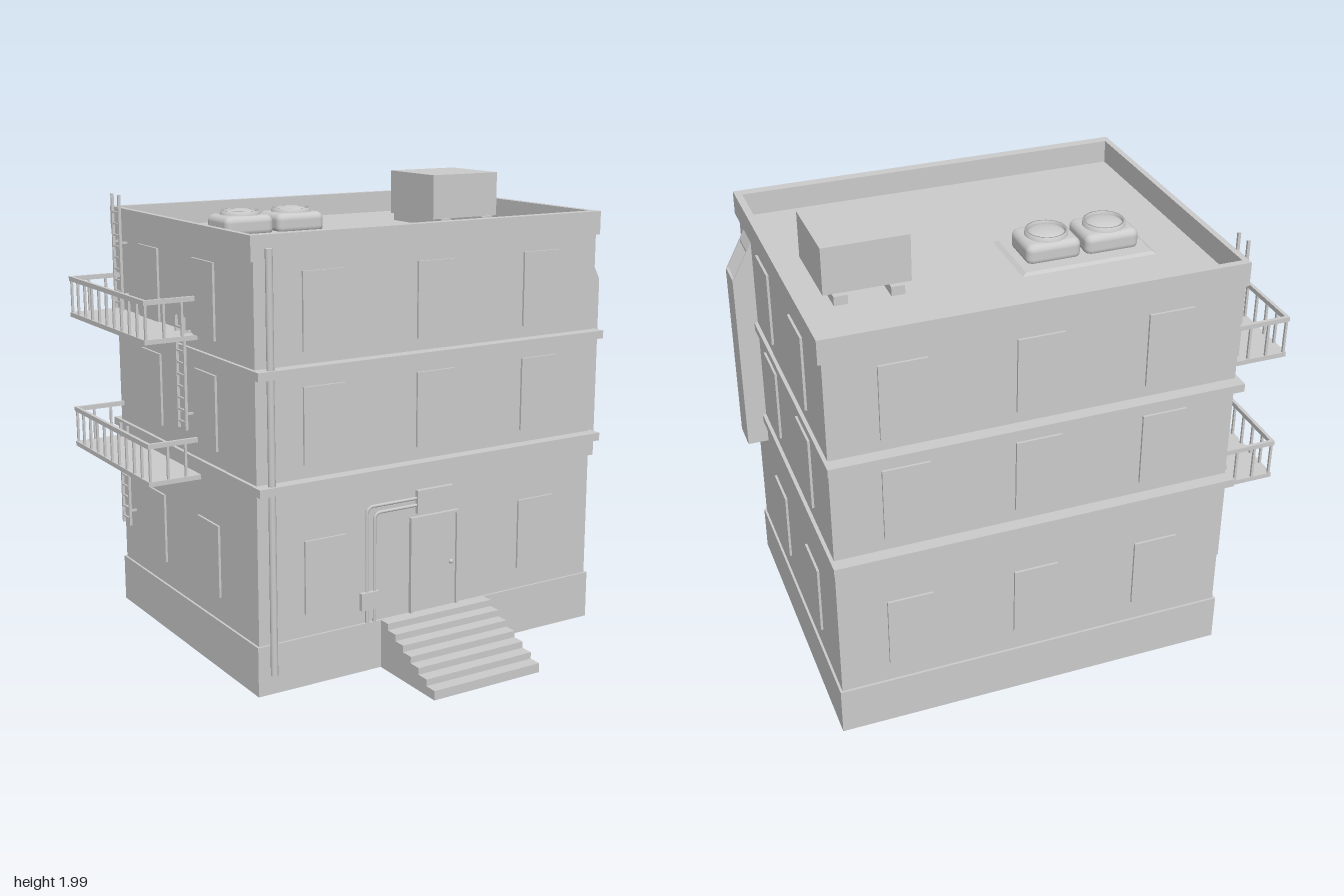
import * as THREE from 'three';
import { RoundedBoxGeometry } from 'three/addons/geometries/RoundedBoxGeometry.js';

const mat = new THREE.MeshStandardMaterial({ color: 0xcccccc, side: THREE.DoubleSide });

export function createModel() {
  const root = new THREE.Group();
  root.name = 'building';

  const add = (name, geo, parent = root) => {
    const m = new THREE.Mesh(geo, mat);
    m.name = name;
    parent.add(m);
    return m;
  };
  const group = (name, parent = root) => {
    const g = new THREE.Group();
    g.name = name;
    parent.add(g);
    return g;
  };
  // box given by its limits
  const box = (name, x0, x1, y0, y1, z0, z1, parent) => {
    const g = new THREE.BoxGeometry(x1 - x0, y1 - y0, z1 - z0);
    g.translate((x0 + x1) / 2, (y0 + y1) / 2, (z0 + z1) / 2);
    return add(name, g, parent);
  };
  const rect = (P, x0, x1, z0, z1) => {
    const p = new P();
    p.moveTo(x0, -z1);
    p.lineTo(x1, -z1);
    p.lineTo(x1, -z0);
    p.lineTo(x0, -z0);
    p.closePath();
    return p;
  };
  // horizontal rectangular ring: outer and inner limits [x0, x1, z0, z1]
  const ring = (name, o, i, y0, y1) => {
    const s = rect(THREE.Shape, ...o);
    s.holes.push(rect(THREE.Path, ...i));
    const g = new THREE.ExtrudeGeometry(s, { depth: y1 - y0, bevelEnabled: false });
    g.rotateX(-Math.PI / 2);
    g.translate(0, y0, 0);
    return add(name, g);
  };
  // polygon in the x-y plane, extruded from z0 to z1
  const plate = (name, pts, z0, z1, parent) => {
    const s = new THREE.Shape(pts.map(p => new THREE.Vector2(...p)));
    const g = new THREE.ExtrudeGeometry(s, { depth: z1 - z0, bevelEnabled: false });
    g.translate(0, 0, z0);
    return add(name, g, parent);
  };

  // hollow shell, open underneath
  ring('plinth', [-0.775, 0.92, -0.84, 0.49], [-0.75, 0.895, -0.815, 0.465], 0, 0.21);
  ring('walls', [-0.765, 0.91, -0.83, 0.48], [-0.755, 0.9, -0.82, 0.47], 0.21, 1.76);
  for (const y of [0.84, 1.3])
    ring('ledge', [-0.78, 0.925, -0.885, 0.535], [-0.73, 0.875, -0.795, 0.445], y, y + 0.035);
  ring('parapet', [-0.78, 0.925, -0.84, 0.49], [-0.755, 0.895, -0.81, 0.445], 1.75, 1.85);
  box('roof', -0.76, 0.9, 1.735, 1.752, -0.815, 0.45);

  // windows on all four sides
  const windows = group('windows');
  [[0.305, 0.615], [0.93, 1.245], [1.385, 1.7]].forEach(([y0, y1], row) => {
    [-0.46, 0.075, 0.6125].forEach((x, col) => {
      box('backWindow', x - 0.095, x + 0.095, y0, y1, -0.84, -0.825, windows);
      if (row > 0 || col !== 1)
        box('frontWindow', x - 0.095, x + 0.095, y0, y1, 0.475, 0.49, windows);
    });
    for (const z of [0.06, -0.465]) {
      box('leftWindow', 0.905, 0.92, y0 + 0.01, y1 + 0.01, z - 0.095, z + 0.095, windows);
      box('rightWindow', -0.775, -0.76, y0 + 0.01, y1 + 0.01, z - 0.095, z + 0.095, windows);
    }
  });

  // front door with frame and knob
  const door = group('door');
  box('doorPanel', -0.04, 0.185, 0.21, 0.62, 0.475, 0.486, door);
  box('doorFrameSide', -0.05, -0.038, 0.21, 0.63, 0.475, 0.497, door);
  box('doorFrameSide', 0.183, 0.195, 0.21, 0.63, 0.475, 0.497, door);
  box('doorFrameTop', -0.038, 0.183, 0.618, 0.63, 0.475, 0.497, door);
  const knob = add('doorKnob', new THREE.SphereGeometry(0.01, 12, 8), door);
  knob.position.set(0.157, 0.405, 0.494);

  // meter boxes and the bent conduits between them
  const conduit = group('conduits');
  box('upperMeterBox', -0.02, 0.16, 0.645, 0.745, 0.475, 0.5, conduit);
  box('lowerMeterBox', -0.295, -0.21, 0.27, 0.345, 0.475, 0.5, conduit);
  for (const [x, y] of [[-0.262, 0.71], [-0.225, 0.68]]) {
    const path = new THREE.CurvePath();
    const v = (a, b) => new THREE.Vector3(a, b, 0.486);
    path.add(new THREE.LineCurve3(v(x, 0.21), v(x, y - 0.03)));
    path.add(new THREE.QuadraticBezierCurve3(v(x, y - 0.03), v(x, y), v(x + 0.03, y)));
    path.add(new THREE.LineCurve3(v(x + 0.03, y), v(-0.01, y)));
    add('conduit', new THREE.TubeGeometry(path, 60, 0.007, 8), conduit);
  }

  // downpipe
  const down = add('downpipe', new THREE.CylinderGeometry(0.015, 0.015, 1.71, 12));
  down.position.set(-0.715, 0.945, 0.513);

  // entrance steps: thin treads and risers between two cheeks
  const stairs = group('entranceSteps');
  const profile = [[0.49, 0]];
  const tread = 0.057;
  for (let i = 6; i >= 0; i--) {
    const top = 0.04 + i * 0.0283, z = 0.885 - i * tread;
    const back = i === 6 ? 0.49 : z - tread;
    profile.push([back, top], [z, top]);
    box('tread', -0.19, 0.33, top - 0.006, top, back, z, stairs);
    box('riser', -0.19, 0.33, i ? top - 0.0283 : 0, top - 0.006, z - 0.006, z, stairs);
  }
  profile.push([0.885, 0]);
  for (const x of [-0.195, 0.33]) {
    const cheek = plate('stepCheek', profile.map(([z, y]) => [-z, y]), 0, 0.005, stairs);
    cheek.rotation.y = Math.PI / 2;
    cheek.position.x = x;
  }

  // wall duct with an open slanted mouth
  const duct = group('wallDuct');
  const side = [[0.905, 0.735], [1, 0.735], [1, 1.54], [0.91, 1.71], [0.905, 1.71]];
  plate('ductSide', side, 0.275, 0.285, duct);
  plate('ductSide', side, 0.4, 0.41, duct);
  box('ductFront', 0.99, 1, 0.735, 1.55, 0.285, 0.4, duct);
  box('ductBottom', 0.905, 0.99, 0.735, 0.745, 0.285, 0.4, duct);
  plate('ductLip', [[0.905, 1.66], [0.93, 1.66], [0.93, 1.672], [0.91, 1.71], [0.905, 1.71]], 0.285, 0.4, duct);

  // balconies with railings
  for (const y of [0.785, 1.375]) {
    const b = group('balcony');
    const top = y + 0.16;
    box('balconyFloor', -1, -0.76, y, y + 0.02, -0.81, -0.01, b);
    box('outerRail', -1, -0.985, top, top + 0.02, -0.81, -0.01, b);
    for (const z of [-0.81, -0.025]) {
      box('endRail', -0.985, -0.765, top, top + 0.02, z, z + 0.015, b);
      for (const x of [-0.995, -0.915, -0.835])
        box('endBaluster', x, x + 0.01, y + 0.02, top, z + 0.002, z + 0.012, b);
    }
    for (let i = 1; i < 10; i++) {
      const z = -0.805 + i * 0.079;
      box('baluster', -0.997, -0.987, y + 0.02, top, z - 0.005, z + 0.005, b);
    }
  }

  // fire ladders
  for (const [zc, y0, y1] of [[-0.738, 0.4, 0.87], [-0.11, 0.985, 1.46], [-0.738, 1.4, 1.91]]) {
    const l = group('ladder');
    for (const z of [zc - 0.037, zc + 0.037]) {
      box('ladderRail', -0.802, -0.79, y0, y1, z - 0.005, z + 0.005, l);
      for (const y of [y0 + 0.07, Math.min(y1 - 0.06, 1.7)])
        box('ladderBracket', -0.79, -0.76, y - 0.005, y + 0.005, z - 0.004, z + 0.004, l);
    }
    for (let y = y0 + 0.03; y < Math.min(y1, 1.87); y += 0.05)
      box('rung', -0.8, -0.792, y - 0.004, y + 0.004, zc - 0.035, zc + 0.035, l);
  }

  // rooftop cabinet on two skids
  const cab = group('roofCabinet');
  box('cabinet', 0.44, 0.79, 1.79, 1.985, -0.42, -0.075, cab);
  for (const x of [0.475, 0.7]) box('skid', x, x + 0.055, 1.75, 1.79, -0.445, -0.06, cab);

  // twin roof fans on a low sloped tray
  const fans = group('roofFans');
  const tray = new THREE.CylinderGeometry(0.66, Math.SQRT1_2, 0.014, 4, 1);
  tray.rotateY(Math.PI / 4);
  tray.scale(0.58, 1, 0.325);
  tray.translate(-0.28, 1.757, -0.3125);
  add('fanTray', tray.toNonIndexed(), fans).geometry.computeVertexNormals();
  const ringPts = [[0.076, 0], [0.076, 0.018], [0.084, 0.018], [0.088, 0]].map(p => new THREE.Vector2(...p));
  for (const x of [-0.405, -0.155]) {
    const body = add('fanHousing', new RoundedBoxGeometry(0.23, 0.09, 0.2, 4, 0.03), fans);
    body.position.set(x, 1.795, -0.31);
    add('fanRing', new THREE.LatheGeometry(ringPts, 32), fans).position.set(x, 1.839, -0.31);
    const dome = add('fanDome', new THREE.SphereGeometry(0.077, 32, 8, 0, Math.PI * 2, 0, Math.PI / 2), fans);
    dome.scale.y = 0.28;
    dome.position.set(x, 1.84, -0.31);
  }

  return root;
}
